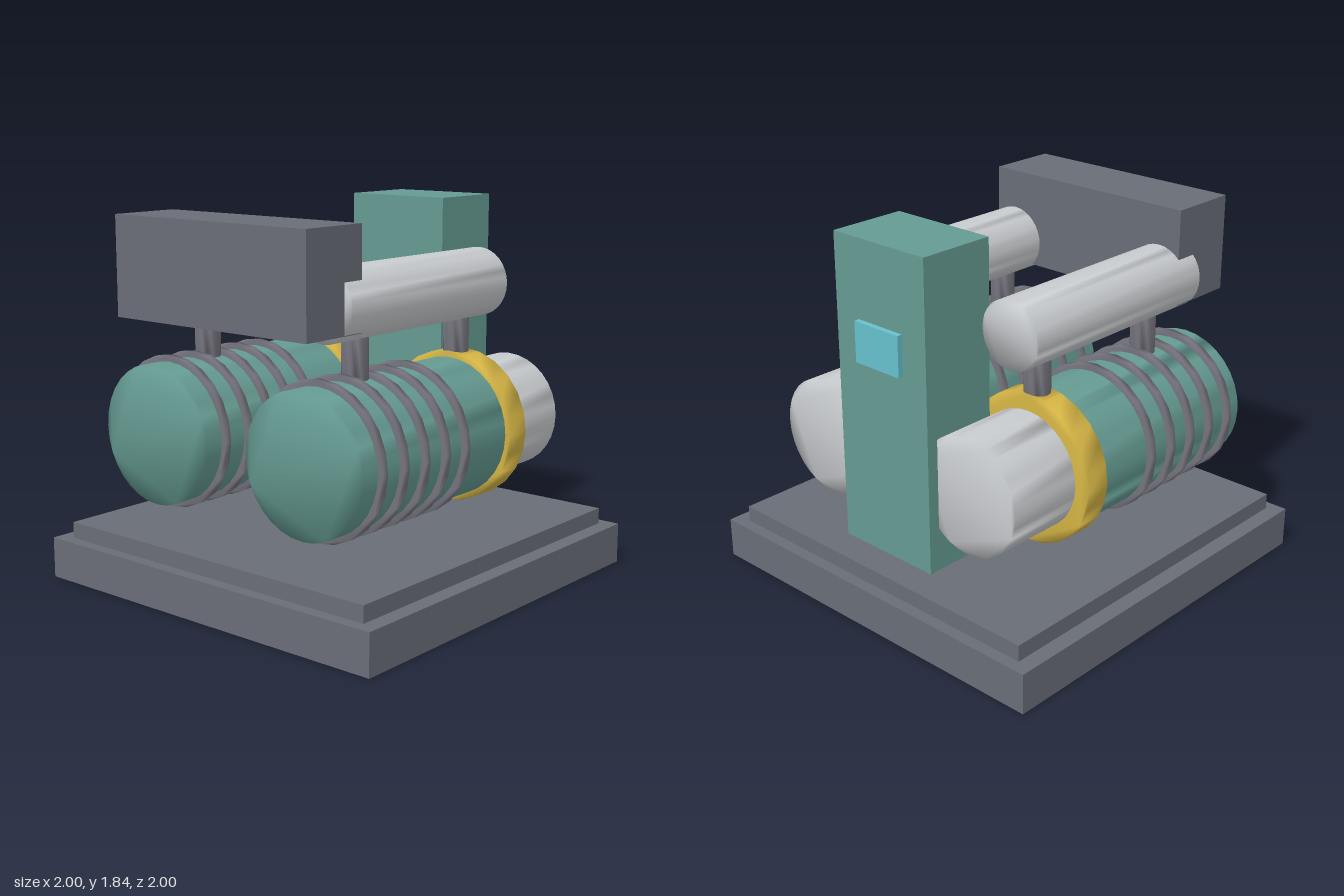
import * as THREE from 'three';
import { mergeVertices } from 'three/addons/utils/BufferGeometryUtils.js';

const material = (name, color) => {
  const m = new THREE.MeshStandardMaterial({ color });
  m.name = name;
  return m;
};

// Solid round bar along +z from 0 to length, with normals blended over its rims
function roundBar(radius, length, sides) {
  const circle = new THREE.Shape();
  for (let i = 0; i < sides; i++) {
    const a = (i / sides) * Math.PI * 2;
    const x = radius * Math.cos(a), y = radius * Math.sin(a);
    if (i === 0) circle.moveTo(x, y);
    else circle.lineTo(x, y);
  }
  circle.closePath();
  const extruded = new THREE.ExtrudeGeometry(circle, { depth: length, bevelEnabled: false });
  extruded.deleteAttribute('normal');
  extruded.deleteAttribute('uv');
  const geometry = mergeVertices(extruded, 1e-4);
  geometry.clearGroups();
  geometry.computeVertexNormals();
  return geometry;
}

export function createModel() {
  const slate = material('slate', 0x696d77);
  const steel = material('steel', 0x74737d);
  const teal = material('teal', 0x659b92);
  const silver = material('silver', 0xc9cccf);
  const yellow = material('yellow', 0xd4b445);
  const cyan = material('cyan', 0x67c1cc);
  const model = new THREE.Group();
  model.name = 'twinTankMachine';

  const add = (parent, name, geometry, mat) => {
    const mesh = new THREE.Mesh(geometry, mat);
    mesh.name = name;
    parent.add(mesh);
    return mesh;
  };
  // Box given by its ranges on each axis
  const box = (name, mat, [x0, x1], [y0, y1], [z0, z1]) =>
    add(model, name, new THREE.BoxGeometry(x1 - x0, y1 - y0, z1 - z0), mat)
      .position.set((x0 + x1) / 2, (y0 + y1) / 2, (z0 + z1) / 2);
  // Round part lying along x
  const lying = (parent, name, mat, radius, x0, x1, y, sides) =>
    add(parent, name, roundBar(radius, x1 - x0, sides).rotateY(Math.PI / 2), mat)
      .position.set(x0, y, 0);
  // Round part standing along y
  const standing = (parent, name, mat, radius, x, y0, y1, sides) =>
    add(parent, name, roundBar(radius, y1 - y0, sides).rotateX(-Math.PI / 2), mat)
      .position.set(x, y0, 0);

  // Stepped base
  box('base', slate, [-1, 1], [0, 0.2], [-1, 1]);
  box('baseStep', slate, [-0.94, 0.94], [0.2, 0.28], [-0.92, 0.92]);

  // Control cabinet with its screen, and the header box across the back end
  box('cabinet', teal, [0.44, 0.835], [0.325, 1.84], [-0.282, 0.282]);
  box('screen', cyan, [0.83, 0.862], [1.262, 1.46], [-0.138, 0.138]);
  box('headerBox', slate, [-0.905, -0.545], [1.325, 1.8], [-0.582, 0.582]);

  // Two matching tank units
  const tankY = 0.762;
  for (const side of [-1, 1]) {
    const unit = new THREE.Group();
    unit.name = side > 0 ? 'frontTankUnit' : 'backTankUnit';
    unit.position.z = side * 0.462;
    model.add(unit);

    lying(unit, 'barrel', teal, 0.338, -0.8, 0.32, tankY, 32);
    lying(unit, 'nose', silver, 0.287, 0.3, 0.777, tankY, 32);
    lying(unit, 'collar', yellow, 0.368, 0.255, 0.382, tankY, 24);
    for (let i = 0; i < 5; i++) {
      const x = -0.685 + i * 0.15;
      lying(unit, 'coolingRing', steel, 0.368, x - 0.016, x + 0.016, tankY, 24);
    }

    // Upper pipe on two posts
    lying(unit, 'upperPipe', silver, 0.166, -0.66, 0.498, 1.443, 32);
    for (const x of [-0.445, 0.317]) standing(unit, 'post', steel, 0.062, x, 1.09, 1.31, 16);
  }
  return model;
}
